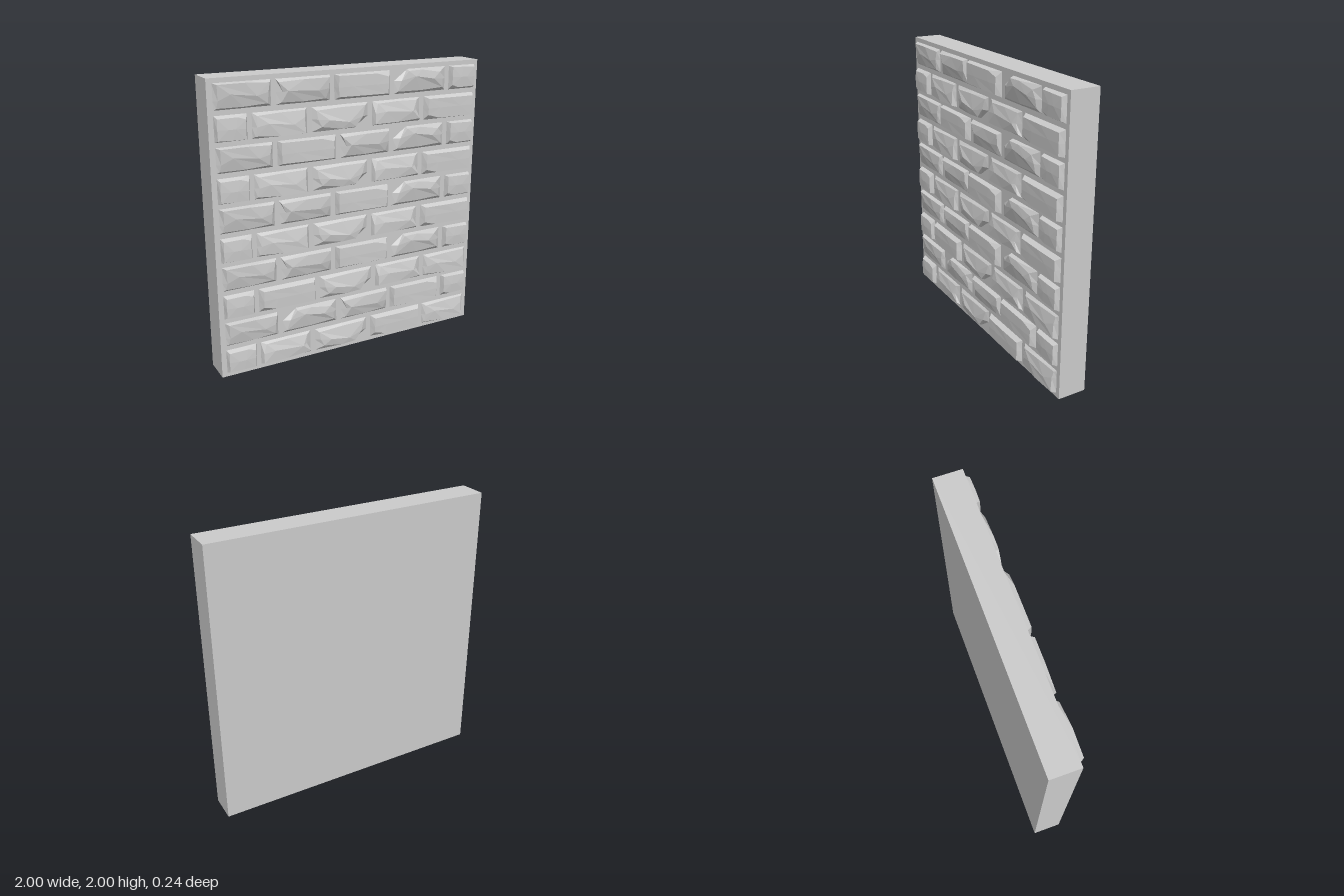
import * as THREE from 'three';

const HALF_H = 0.083, FACE_Z = 0.08, GAP = 0.03;

// Each stone: width, rim (counter-clockwise from bottom left, x and y as
// fractions of the half size, z as height) and a two-point crest [left, right].
const STONES = {
  A: { // long chipped stone, tapered to the left
    w: 0.38,
    rim: [[-0.9, -0.85, 0.012], [0, -0.85, 0.02], [0.84, -0.75, 0.02], [0.86, 0.1, 0.026],
      [0.92, 0.8, 0.022], [0.05, 0.92, 0.034], [-0.88, 0.9, 0.03], [-0.86, -0.3, 0.022]],
    crest: [[-0.45, 0.15, 0.034], [0.45, -0.1, 0.034]],
  },
  B: { // stone with a notched left end
    w: 0.38,
    rim: [[-0.82, -0.8, 0.015], [0, -0.85, 0.018], [0.8, -0.78, 0.016], [0.92, 0, 0.026],
      [0.92, 0.85, 0.03], [0, 0.85, 0.03], [-0.94, 0.75, 0.026], [-0.78, -0.02, 0.022]],
    crest: [[-0.62, 0.08, 0.036], [0.5, -0.1, 0.034]],
  },
  C: { // squared block with a sloping upper corner
    w: 0.42,
    rim: [[-0.9, -0.76, 0.033], [0, -0.78, 0.036], [0.86, -0.8, 0.034], [0.88, 0, 0.035],
      [0.88, 0.55, 0.033], [0.45, 0.86, 0.034], [-0.9, 0.9, 0.034], [-0.91, 0, 0.035]],
    crest: [[-0.4, 0, 0.036], [0.4, 0, 0.036]],
  },
  D: { // mounded stone with broad slopes
    w: 0.42,
    rim: [[-0.86, -0.78, 0.014], [0, -0.8, 0.018], [0.86, -0.7, 0.018], [0.82, 0, 0.024],
      [0.7, 0.6, 0.028], [0, 0.9, 0.028], [-0.5, 0.85, 0.026], [-0.75, 0.1, 0.022]],
    crest: [[-0.25, 0.4, 0.036], [0.45, 0.1, 0.038]],
  },
  E: { // half stone with a clipped lower corner
    w: 0.215,
    rim: [[-0.85, -0.6, 0.03], [-0.35, -0.82, 0.03], [0.86, -0.8, 0.03], [0.9, 0, 0.032],
      [0.88, 0.84, 0.03], [0, 0.88, 0.032], [-0.84, 0.9, 0.03], [-0.85, 0.1, 0.032]],
    crest: [[-0.2, 0.05, 0.036], [0.25, 0.05, 0.036]],
  },
};

// Courses from bottom to top; odd courses use the stones turned half round.
const COURSES = ['EBDCA', 'ADBCE', 'ECDBA', 'ABCDE', 'EADBC',
  'ABCDE', 'EADBC', 'ACBDE', 'EADBC', 'ABCDE'];

function stoneGeometry({ w, rim, crest }) {
  const place = ([x, y, z]) => [x * w / 2, y * HALF_H, z];
  const top = rim.map(place), ridge = crest.map(place);
  // Foot outline: the rim pushed out to the surrounding rectangle
  const foot = rim.map(([x, y]) => place([
    Math.abs(x) > 0.65 ? Math.sign(x) : x,
    Math.abs(y) > 0.5 ? Math.sign(y) : y, -0.002]));
  const pos = [];
  const tri = (...corners) => corners.forEach((c) => pos.push(...c));
  const side = (p) => (p[0] > 0.001 ? 1 : 0);
  for (let i = 0; i < top.length; i++) {
    const j = (i + 1) % top.length;
    tri(foot[i], foot[j], top[j]);
    tri(foot[i], top[j], top[i]);
    const a = ridge[side(top[i])], b = ridge[side(top[j])];
    tri(top[i], top[j], a);
    if (a !== b) tri(top[j], b, a);
  }
  const g = new THREE.BufferGeometry();
  g.setAttribute('position', new THREE.Float32BufferAttribute(pos, 3));
  g.computeVertexNormals();
  return g;
}

export function createModel() {
  const model = new THREE.Group();
  model.name = 'brickWall';
  const mat = new THREE.MeshStandardMaterial({ color: 0xcccccc, flatShading: true });

  // Backing slab
  const slab = new THREE.Mesh(new THREE.BoxGeometry(2, 2, 0.2), mat);
  slab.name = 'slab';
  slab.position.set(0, 1, FACE_Z - 0.1);
  model.add(slab);

  // Courses of stones
  const shapes = {};
  for (const key in STONES) shapes[key] = stoneGeometry(STONES[key]);
  COURSES.forEach((keys, row) => {
    const course = new THREE.Group();
    course.name = `course${row + 1}`;
    let x = -0.965;
    for (const key of keys) {
      const w = STONES[key].w;
      const stone = new THREE.Mesh(shapes[key], mat);
      stone.name = 'brick';
      stone.position.set(x + w / 2, 0.112 + row * 0.1972, FACE_Z);
      if (row % 2 === 0) stone.rotation.z = Math.PI;
      course.add(stone);
      x += w + GAP;
    }
    model.add(course);
  });
  return model;
}
